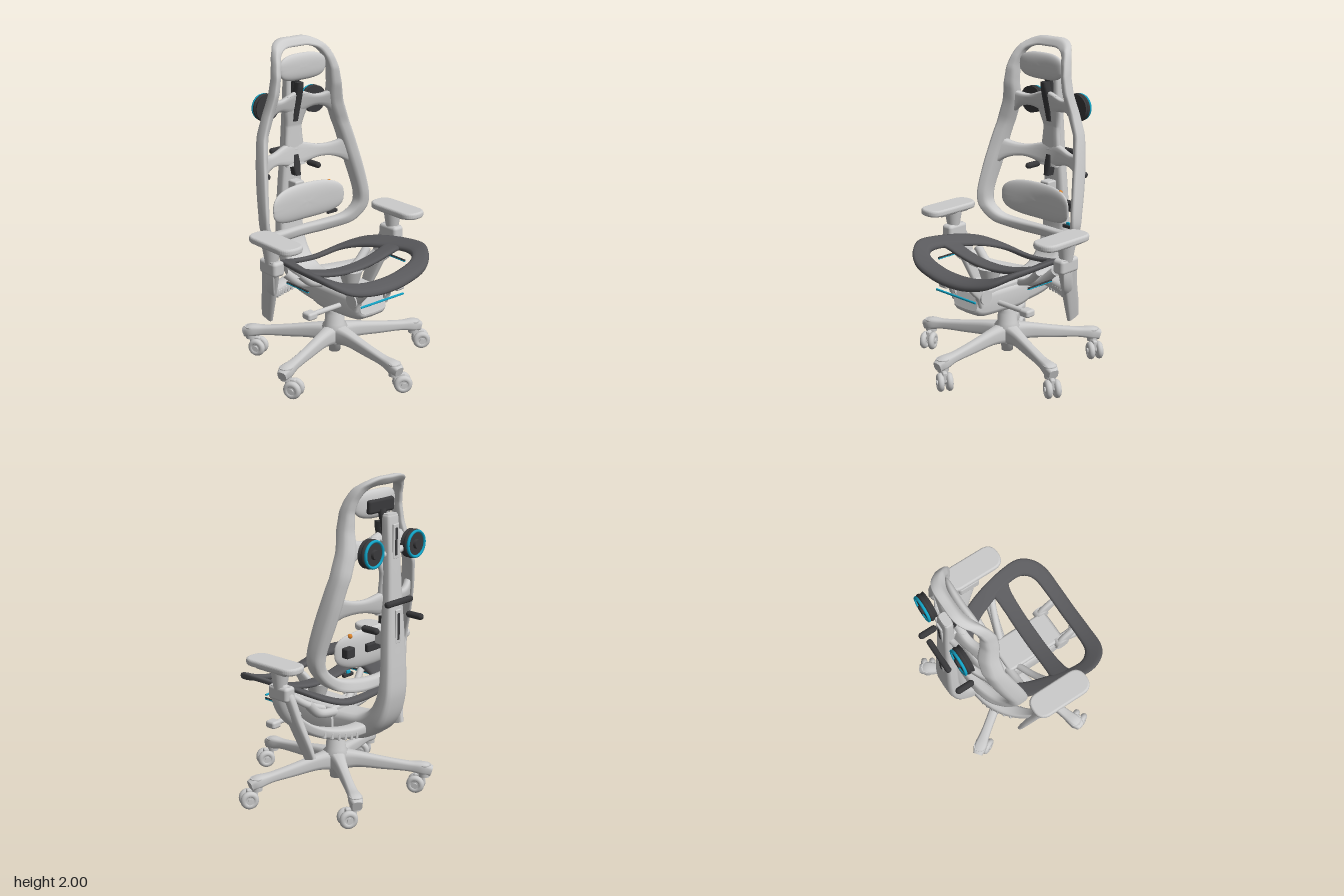
import * as THREE from 'three';
import { RoundedBoxGeometry } from 'three/addons/geometries/RoundedBoxGeometry.js';

const CX = -0.03, CZ = -0.06; // chair axis
const mat = (color) => new THREE.MeshStandardMaterial({ color });
const grey = mat(0xcccccc), seatGrey = mat(0x5a5a5d), dark = mat(0x39393b), blue = mat(0x12a5c8), orange = mat(0xd9822b);

// Linear lookup in rows [key, value, value...]
function lookup(rows, k, col) {
  let i = 1;
  while (i < rows.length - 1 && k > rows[i][0]) i++;
  const t = THREE.MathUtils.clamp((k - rows[i - 1][0]) / (rows[i][0] - rows[i - 1][0]), 0, 1);
  return THREE.MathUtils.lerp(rows[i - 1][col], rows[i][col], t);
}

// Sweeps a rounded section along points [p, q, width, depth]; map places (p, q, d) in space
function sweep(pts, map, { closed = false, steps = 60, sides = 14, e = 0.6 } = {}) {
  const path = new THREE.CatmullRomCurve3(pts.map((a) => new THREE.Vector3(a[0], a[1], 0)), closed, 'catmullrom', 0.5);
  const size = new THREE.CatmullRomCurve3(pts.map((a) => new THREE.Vector3(a[2], a[3], 0)), closed, 'catmullrom', 0.5);
  const pos = [], idx = [], rows = closed ? steps : steps + 1;
  const pw = (v) => Math.sign(v) * Math.abs(v) ** e;
  for (let i = 0; i < rows; i++) {
    const c = path.getPoint(i / steps), t = path.getTangent(i / steps), s = size.getPoint(i / steps);
    for (let j = 0; j < sides; j++) {
      const a = (j / sides) * Math.PI * 2, n = pw(Math.cos(a)) * s.x / 2, d = pw(Math.sin(a)) * s.y / 2;
      pos.push(...map(c.x - t.y * n, c.y + t.x * n, d));
    }
  }
  for (let i = 0; i < steps; i++) for (let j = 0; j < sides; j++) {
    const k = (j + 1) % sides, r = ((i + 1) % rows) * sides, q = i * sides;
    idx.push(q + j, q + k, r + j, q + k, r + k, r + j);
  }
  if (!closed) for (const [row, flip] of [[0, true], [steps, false]]) {
    const base = pos.length / 3;
    for (let j = 0; j < sides * 3; j++) pos.push(pos[row * sides * 3 + j]);
    for (let j = 1; j < sides - 1; j++) idx.push(base, base + (flip ? j + 1 : j), base + (flip ? j : j + 1));
  }
  // Keep faces outward whatever the handedness of the map
  const v = (i) => new THREE.Vector3().fromArray(pos, i * 3);
  let volume = 0;
  for (let i = 0; i < idx.length; i += 3) volume += v(idx[i]).dot(v(idx[i + 1]).cross(v(idx[i + 2])));
  if (volume < 0) idx.reverse();
  const g = new THREE.BufferGeometry();
  g.setAttribute('position', new THREE.Float32BufferAttribute(pos, 3));
  g.setIndex(idx);
  g.computeVertexNormals();
  return g;
}
// Half outline from top centre to bottom centre -> whole loop
const mirrorLoop = (half) => [...half, ...half.slice(1, -1).reverse().map(([p, ...r]) => [-p, ...r])];

// Backrest bend: y, side z, bow depth, half width
const BACK = [[0.75, -0.35, 0.04, 0.3], [0.8, -0.285, 0.095, 0.35], [0.9, -0.238, 0.14, 0.4], [1, -0.234, 0.155, 0.41], [1.13, -0.258, 0.165, 0.4],
  [1.29, -0.3, 0.15, 0.37], [1.45, -0.338, 0.115, 0.335], [1.58, -0.34, 0.085, 0.29], [1.7, -0.318, 0.072, 0.26], [1.8, -0.317, 0.06, 0.245], [1.87, -0.335, 0.05, 0.235], [1.94, -0.375, 0.04, 0.2], [2, -0.45, 0, 0.18]];
const backZ = (p, q) => lookup(BACK, q, 1) - lookup(BACK, q, 2) * (1 - Math.min(1, (p / lookup(BACK, q, 3)) ** 2));
const onBack = (p, q, d) => [CX + p, q, backZ(p, q) + d];
// Seat bend: sides rise, nose and tail drop
const seatY = (p, q) => 0.665 + 0.09 * (p / 0.4) ** 2 - 1.4 * Math.max(0, q - 0.28) ** 2 - 0.35 * Math.max(0, -q) ** 2;
const onSeat = (p, q, d) => [CX + p, seatY(p, q) + d, q];
// Arm supports sweep forward as they go outward
const armZ = (p) => -0.34 + 0.26 * (Math.max(0, p) / 0.48) ** 2.5;

// Rounded cushion following the back
function pillow(a, b, t, y, off) {
  const g = new THREE.SphereGeometry(1, 40, 24).rotateX(Math.PI / 2), P = g.attributes.position;
  const pw = (v, k) => Math.sign(v) * Math.abs(v) ** k;
  for (let i = 0; i < P.count; i++) {
    const x = pw(P.getX(i), 0.7) * a, yy = y + pw(P.getY(i), 0.7) * b;
    P.setXYZ(i, CX + x, yy, backZ(x * 0.8, y) + off + P.getZ(i) * t);
  }
  g.computeVertexNormals();
  return g;
}

export function createModel() {
  const root = new THREE.Group();
  const add = (name, geo, m = grey, x = 0, y = 0, z = 0, parent = root) => {
    const o = new THREE.Mesh(geo, m);
    o.name = name;
    o.position.set(x, y, z);
    parent.add(o);
    return o;
  };
  const box = (w, h, d, r = 0.01) => new RoundedBoxGeometry(w, h, d, 3, r);
  const cyl = (r1, r2, h, n = 28) => new THREE.CylinderGeometry(r1, r2, h, n);
  const tube = (pts, r) => new THREE.TubeGeometry(new THREE.CatmullRomCurve3(pts.map((p) => new THREE.Vector3(...p))), 32, r, 12);

  // Backrest frame with crossbars and spine
  add('backFrame', sweep(mirrorLoop([[0, 1.97, 0.055, 0.06], [0.1, 1.966, 0.055, 0.06], [0.172, 1.925, 0.052, 0.065], [0.208, 1.84, 0.052, 0.072], [0.225, 1.74, 0.06, 0.08], [0.25, 1.6, 0.075, 0.085],
    [0.31, 1.42, 0.068, 0.095], [0.355, 1.2, 0.062, 0.108], [0.383, 1, 0.055, 0.098], [0.37, 0.9, 0.058, 0.085], [0.3, 0.82, 0.072, 0.08], [0.17, 0.79, 0.075, 0.07], [0, 0.785, 0.07, 0.06]]), onBack, { closed: true, steps: 170 }));
  for (const [y, x] of [[1.6, 0.25], [1.27, 0.34]])
    add('backCrossbar', sweep([[-x, y, 0.19, 0.06], [-x * 0.8, y, 0.1, 0.055], [-x * 0.5, y, 0.078, 0.05], [0, y, 0.15, 0.05], [x * 0.5, y, 0.078, 0.05], [x * 0.8, y, 0.1, 0.055], [x, y, 0.19, 0.06]], onBack));
  add('backSpine', sweep([[0, 1.65, 0.18, 0.045], [0, 1.57, 0.18, 0.045], [0, 1.45, 0.125, 0.045], [0, 1.33, 0.14, 0.045], [0, 1.2, 0.15, 0.045]], onBack));
  for (const [y0, y1] of [[1.48, 1.73], [1.14, 1.27]])
    add('spineSlot', sweep([[0, y0, 0.045, 0.06], [0, (y0 + y1) / 2, 0.06, 0.06], [0, y1, 0.045, 0.06]], onBack), dark);

  // Cushions and their brackets
  add('headrest', pillow(0.175, 0.082, 0.028, 1.83, 0.015));
  add('headrestBack', box(0.22, 0.08, 0.035, 0.015), dark, CX, 1.82, -0.39);
  add('headrestStem', tube([[CX, 1.8, -0.4], [CX, 1.7, -0.425], [CX, 1.6, -0.435]], 0.025), dark);
  add('lumbarPad', pillow(0.28, 0.115, 0.03, 0.99, 0.045));
  add('lumbarBracket', box(0.2, 0.05, 0.03), dark, CX, 1, -0.38);
  add('lumbarArm', box(0.07, 0.09, 0.08), grey, CX, 1.06, -0.425);
  add('sideControl', box(0.07, 0.06, 0.05), dark, 0.2, 1, -0.36);
  add('sideControlTab', box(0.08, 0.022, 0.02, 0.005), dark, 0.2, 0.868, -0.355);
  add('sideControlLight', box(0.03, 0.02, 0.012, 0.004), blue, 0.2, 0.885, -0.358);
  add('sideKnob', new THREE.SphereGeometry(0.015, 16, 12), orange, 0.155, 1.08, -0.33);

  // Curved rear post running down into the mechanism
  const post = [[-0.462, 1.785, 0.05, 0.08], [-0.463, 1.74, 0.06, 0.1], [-0.475, 1.5, 0.07, 0.11], [-0.485, 1.27, 0.075, 0.13], [-0.495, 1.05, 0.08, 0.16],
    [-0.502, 0.85, 0.085, 0.18], [-0.49, 0.71, 0.1, 0.19], [-0.435, 0.58, 0.13, 0.2], [-0.33, 0.5, 0.15, 0.2], [-0.18, 0.475, 0.16, 0.2], [0, 0.475, 0.15, 0.22]];
  add('rearPost', sweep(post, (p, q, d) => [CX + d, q, p], { steps: 90, e: 0.5 }));
  for (const [y, z] of [[1.63, -0.503], [1.14, -0.53]]) {
    add('postSlotRim', box(0.05, 0.2, 0.012, 0.005), grey, CX, y, z);
    add('postSlot', box(0.022, 0.16, 0.012, 0.005), dark, CX, y, z - 0.003);
  }
  for (const [y, z] of [[1.6, -0.435], [1.27, -0.45]]) add('backMount', box(0.1, 0.08, 0.05), grey, CX, y, z);
  add('rearHandle', box(0.23, 0.035, 0.035, 0.015), dark, CX, 1.285, -0.535);
  for (const s of [-1, 1]) {
    const hook = add('rearHook', new THREE.CapsuleGeometry(0.02, 0.08, 6, 14), dark, CX + s * 0.2, 1.155, -0.495);
    hook.rotation.x = Math.PI / 2;
    // Round rear discs with coloured rim and hub
    const disc = new THREE.Group();
    disc.name = 'rearDisc';
    disc.position.set(CX + s * 0.185, 1.585, -0.485);
    disc.rotation.x = -Math.PI / 2;
    root.add(disc);
    add('discBody', cyl(0.07, 0.084, 0.05, 40), dark, 0, -0.005, 0, disc);
    add('discEdge', new THREE.TorusGeometry(0.072, 0.014, 10, 40).rotateX(Math.PI / 2), dark, 0, 0, 0, disc);
    add('discRing', new THREE.TorusGeometry(0.074, 0.009, 8, 40).rotateX(Math.PI / 2), blue, 0, 0.02, 0, disc);
    add('discHub', cyl(0.025, 0.03, 0.02), dark, 0, 0.025, 0, disc);
    add('discArm', tube([[CX, 1.56, -0.47], [CX + s * 0.08, 1.56, -0.46], [CX + s * 0.16, 1.585, -0.46]], 0.02));
  }

  // Seat frame
  add('seatFrame', sweep(mirrorLoop([[0, -0.258, 0.05, 0.03], [0.17, -0.25, 0.06, 0.03], [0.28, -0.16, 0.1, 0.032], [0.345, 0, 0.1, 0.034], [0.385, 0.18, 0.09, 0.036],
    [0.375, 0.29, 0.1, 0.04], [0.3, 0.365, 0.11, 0.04], [0.16, 0.383, 0.105, 0.04], [0, 0.385, 0.105, 0.04]]), onSeat, { closed: true, steps: 140 }), seatGrey);
  add('seatCrossbar', sweep([[-0.37, 0.09, 0.19, 0.03], [-0.29, 0.09, 0.11, 0.03], [0, 0.09, 0.1, 0.03], [0.29, 0.09, 0.11, 0.03], [0.37, 0.09, 0.19, 0.03]], onSeat), seatGrey);
  add('seatPivot', cyl(0.075, 0.05, 0.08), grey, CX, 0.62, 0.09);

  // Mechanism housing
  add('mechanismBody', sweep([[0.29, 0.5, 0.1, 0.2], [0.24, 0.485, 0.16, 0.23], [0.1, 0.48, 0.17, 0.25], [-0.05, 0.475, 0.17, 0.25], [-0.13, 0.48, 0.15, 0.24]], (p, q, d) => [CX + d, q, p], { e: 0.45 }));
  add('mechanismCover', box(0.22, 0.04, 0.4, 0.015), grey, CX, 0.555, 0.07);
  add('frontStrip', box(0.34, 0.012, 0.012, 0.004), blue, CX, 0.55, 0.375);

  for (const s of [-1, 1]) {
    const X = (v) => CX + s * v;
    // Seat links and side rails
    add('frontLink', sweep([[0.375, 0.637, 0.04, 0.035], [0.33, 0.612, 0.075, 0.035], [0.27, 0.56, 0.09, 0.035], [0.25, 0.49, 0.08, 0.035]], (p, q, d) => [X(0.115) + d, q, p], { steps: 24 }));
    add('linkPivot', cyl(0.045, 0.045, 0.05).rotateZ(Math.PI / 2), grey, X(0.115), 0.545, 0.255);
    add('seatRail', tube([[X(0.1), 0.55, -0.06], [X(0.22), 0.6, -0.02], [X(0.35), 0.7, 0.03]], 0.022));
    add('rearRod', tube([[X(0.08), 0.54, -0.12], [X(0.22), 0.57, -0.12], [X(0.33), 0.66, -0.13]], 0.028));
    add('sideStrip', box(0.012, 0.008, 0.2, 0.003), dark, X(0.385), 0.643, 0.06);
    add('sideStripLight', box(0.012, 0.006, 0.2, 0.002), blue, X(0.385), 0.636, 0.06);
    // Control lever
    add('lever', cyl(0.016, 0.016, 0.24).rotateZ(Math.PI / 2), grey, X(0.23), 0.475, 0.13);
    add('leverPaddle', box(0.07, 0.045, 0.07, 0.014), grey, X(0.35), 0.475, 0.13);

    // Armrest: swept arm, sloping sheath, neck and pad
    add('armSupport', sweep([[0.06, 0.5, 0.07, 0.1], [0.2, 0.495, 0.065, 0.1], [0.34, 0.515, 0.065, 0.1], [0.43, 0.575, 0.06, 0.09], [0.475, 0.67, 0.055, 0.085], [0.487, 0.8, 0.05, 0.08]],
      (p, q, d) => [X(p), q, d + armZ(p)]));
    for (let i = 0; i < 6; i++) {
      const p = 0.16 + i * 0.035;
      const rib = add('armRib', box(0.02, 0.045, 0.1, 0.006), grey, X(p), 0.481 + i * i * 0.001, armZ(p));
      rib.rotation.z = s * i * 0.06;
    }
    add('armSheath', sweep([[-0.05, 0.8, 0.1, 0.055], [-0.09, 0.72, 0.125, 0.055], [-0.14, 0.58, 0.108, 0.05], [-0.19, 0.45, 0.1, 0.04], [-0.22, 0.36, 0.085, 0.03]],
      (p, q, d) => [X(0.4 + (q - 0.36) * 0.18 + d), q, p], { steps: 30 }));
    add('armCollar', box(0.08, 0.09, 0.15, 0.02), grey, X(0.475), 0.755, -0.065);
    add('armNeck', cyl(0.058, 0.038, 0.12), grey, X(0.48), 0.84, -0.06);
    add('armPadBase', box(0.11, 0.03, 0.24, 0.014), grey, X(0.48), 0.892, -0.03);
    const pad = new THREE.Shape(), w = 0.068, h = 0.18, r = 0.064;
    pad.moveTo(-w + r, -h).lineTo(w - r, -h).quadraticCurveTo(w, -h, w, -h + r).lineTo(w, h - r).quadraticCurveTo(w, h, w - r, h)
      .lineTo(-w + r, h).quadraticCurveTo(-w, h, -w, h - r).lineTo(-w, -h + r).quadraticCurveTo(-w, -h, -w + r, -h);
    add('armPad', new THREE.ExtrudeGeometry(pad, { depth: 0.01, bevelThickness: 0.016, bevelSize: 0.013, bevelSegments: 5, curveSegments: 10 }).rotateX(-Math.PI / 2), grey, X(0.48), 0.909, -0.018);
  }

  // Gas column and hub
  const column = [[0.0001, 0.08], [0.035, 0.08], [0.04, 0.13], [0.075, 0.15], [0.08, 0.25], [0.062, 0.27], [0.058, 0.33], [0.045, 0.345], [0.042, 0.43], [0.0001, 0.43]];
  add('gasColumn', new THREE.LatheGeometry(column.map((p) => new THREE.Vector2(...p)), 36), grey, CX, 0, CZ);

  // Five-leg base with twin-wheel casters, each swivelled by its own angle
  [-0.55, -1.1, -1.1, -0.55, -0.55].forEach((swivel, i) => {
    const a = Math.PI / 2 + (i * Math.PI * 2) / 5, c = Math.cos(a), s = Math.sin(a);
    add('baseLeg', sweep([[0.03, 0.2, 0.13, 0.11], [0.14, 0.2, 0.095, 0.075], [0.3, 0.182, 0.075, 0.06], [0.45, 0.168, 0.06, 0.062], [0.54, 0.158, 0.075, 0.082], [0.59, 0.142, 0.06, 0.06]],
      (p, q, d) => [CX + c * p - s * d, q, CZ + s * p + c * d], { steps: 32 }));
    const caster = new THREE.Group();
    caster.name = 'caster';
    caster.position.set(CX + c * 0.545, 0, CZ + s * 0.545);
    caster.rotation.y = swivel;
    root.add(caster);
    add('casterSocket', cyl(0.04, 0.034, 0.08), grey, 0, 0.145, 0, caster);
    add('casterBody', box(0.07, 0.07, 0.03), grey, 0.03, 0.085, 0, caster);
    for (const k of [-1, 1]) {
      add('casterWheel', new THREE.TorusGeometry(0.036, 0.02, 12, 32), grey, 0.05, 0.056, k * 0.027, caster);
      add('casterDisc', cyl(0.045, 0.045, 0.032).rotateX(Math.PI / 2), grey, 0.05, 0.056, k * 0.027, caster);
      add('casterCap', cyl(0.016, 0.016, 0.042, 16).rotateX(Math.PI / 2), grey, 0.05, 0.056, k * 0.03, caster);
    }
  });
  return root;
}
